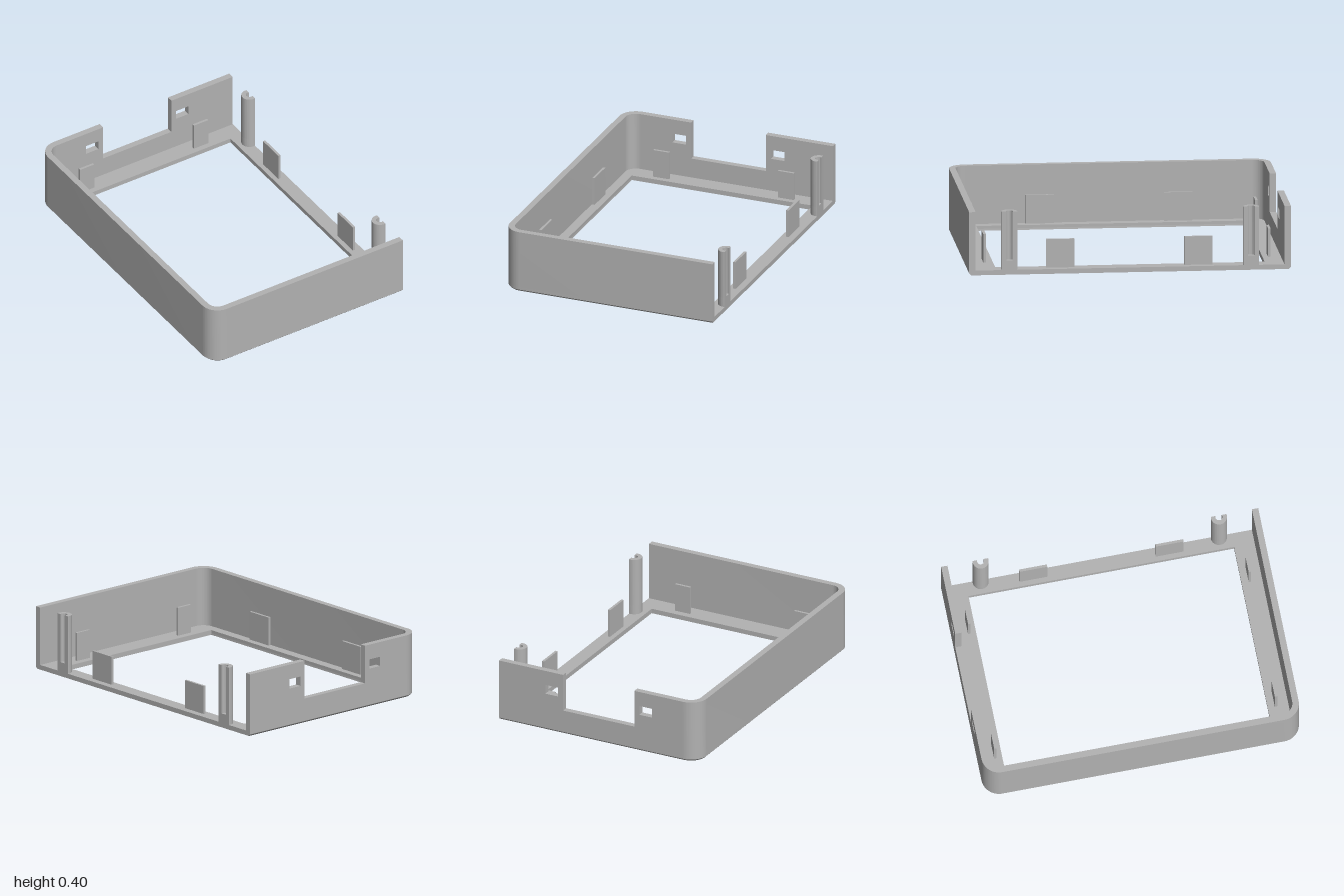
import * as THREE from 'three';
import { toCreasedNormals } from 'three/addons/utils/BufferGeometryUtils.js';

const W = 0.7, D = 1, H = 0.4;        // half width, half depth, height
const R = 0.11, T = 0.04;             // corner radius, wall thickness
const FLOOR = 0.03, BEVEL = 0.012;

// Extrude a plan drawing (x, -z) upwards from y0 to y1
function extrudeUp(shape, y0, y1) {
  const g = new THREE.ExtrudeGeometry(shape, { depth: y1 - y0, bevelEnabled: false, curveSegments: 14 });
  g.rotateX(-Math.PI / 2);
  g.translate(0, y0, 0);
  return g;
}

function rectPath(x0, y0, x1, y1) {
  return new THREE.Path([[x0, y0], [x1, y0], [x1, y1], [x0, y1]].map(([x, y]) => new THREE.Vector2(x, y)));
}

// Floor frame outline: rounded on the left-hand corners, square on the open side
function frameShape() {
  const s = new THREE.Shape();
  s.moveTo(W, -D);
  s.lineTo(W, D);
  s.lineTo(-W + R, D);
  s.absarc(-W + R, D - R, R, Math.PI / 2, Math.PI, false);
  s.lineTo(-W, -D + R);
  s.absarc(-W + R, -D + R, R, Math.PI, Math.PI * 1.5, false);
  s.closePath();
  s.holes.push(rectPath(-0.6, -0.83, 0.61, 0.845));
  return s;
}

// Front wall, side wall and both rounded corners in one strip
function wallShape() {
  const s = new THREE.Shape(), cx = -W + R, cz = D - R, r = R - T;
  s.moveTo(W, -D);
  s.lineTo(W, -D + T);
  s.lineTo(cx, -D + T);
  s.absarc(cx, -cz, r, Math.PI * 1.5, Math.PI, true);
  s.lineTo(-W + T, cz);
  s.absarc(cx, cz, r, Math.PI, Math.PI / 2, true);
  s.lineTo(cx, D);
  s.absarc(cx, cz, R, Math.PI / 2, Math.PI, false);
  s.lineTo(-W, -cz);
  s.absarc(cx, -cz, R, Math.PI, Math.PI * 1.5, false);
  s.closePath();
  return s;
}

// Back wall elevation with the wide notch and two latch slots
function backWallShape() {
  const pts = [[-W + R, FLOOR], [W, FLOOR], [W, H], [0.25, H], [0.25, 0.157], [-0.25, 0.157], [-0.25, H], [-W + R, H]];
  const s = new THREE.Shape(pts.map(([x, y]) => new THREE.Vector2(x, y)));
  for (const x of [-0.375, 0.285]) s.holes.push(rectPath(x, 0.245, x + 0.09, 0.305));
  return s;
}

// Screw post section, cut flat on the open side; optional bore
function postShape(z, bored) {
  const s = new THREE.Shape(), cx = 0.69, cut = W - cx, r = 0.05, bore = 0.022;
  const a = Math.acos(cut / r), b = Math.acos(cut / bore);
  s.absarc(cx, -z, r, a, Math.PI * 2 - a, false);
  if (bored) s.absarc(cx, -z, bore, Math.PI * 2 - b, b, true);
  s.closePath();
  return s;
}

export function createModel() {
  const group = new THREE.Group();
  group.name = 'caseFrame';
  const grey = new THREE.MeshStandardMaterial({ color: 0xb2b2b2 });
  grey.name = 'grey';
  const add = (name, geometry, crease = 0.5) => {
    const mesh = new THREE.Mesh(toCreasedNormals(geometry, crease), grey);
    mesh.name = name;
    group.add(mesh);
  };

  // Floor, with the lowest outer edge drawn inwards as a chamfer
  add('floorFrame', extrudeUp(frameShape(), BEVEL, FLOOR));
  const chamfer = extrudeUp(frameShape(), 0, BEVEL);
  const p = chamfer.attributes.position;
  for (let i = 0; i < p.count; i++) {
    if (p.getY(i) > BEVEL / 2) continue;
    const x = p.getX(i), z = p.getZ(i), k = BEVEL / R;
    const cx = Math.max(x, -W + R), cz = THREE.MathUtils.clamp(z, -D + R, D - R);
    p.setXYZ(i, x + (cx - x) * k, 0, z + (cz - z) * k);
  }
  add('floorChamfer', chamfer);

  // Walls
  add('frontAndSideWall', extrudeUp(wallShape(), FLOOR, H));
  const back = new THREE.ExtrudeGeometry(backWallShape(), { depth: T, bevelEnabled: false });
  back.translate(0, 0, -D);
  add('backWall', back);

  // Upright locating tabs
  const tabH = 0.18, tabY = FLOOR + tabH / 2;
  for (const side of [-1, 1]) {
    for (const end of [-1, 1]) {
      const endTab = new THREE.BoxGeometry(0.105, tabH, 0.016);
      endTab.translate(side * 0.418, tabY, end < 0 ? -0.888 : 0.882);
      add('endTab', endTab);
      const sideTab = new THREE.BoxGeometry(0.016, tabH, 0.176);
      sideTab.translate(side * 0.649, tabY, end * 0.43);
      add('sideTab', sideTab);
    }
  }

  // Screw posts: solid foot and bored upper part
  for (const z of [-0.753, 0.75]) {
    add('postFoot', extrudeUp(postShape(z, false), FLOOR, 0.09));
    add('screwPost', extrudeUp(postShape(z, true), 0.09, H));
  }
  return group;
}
